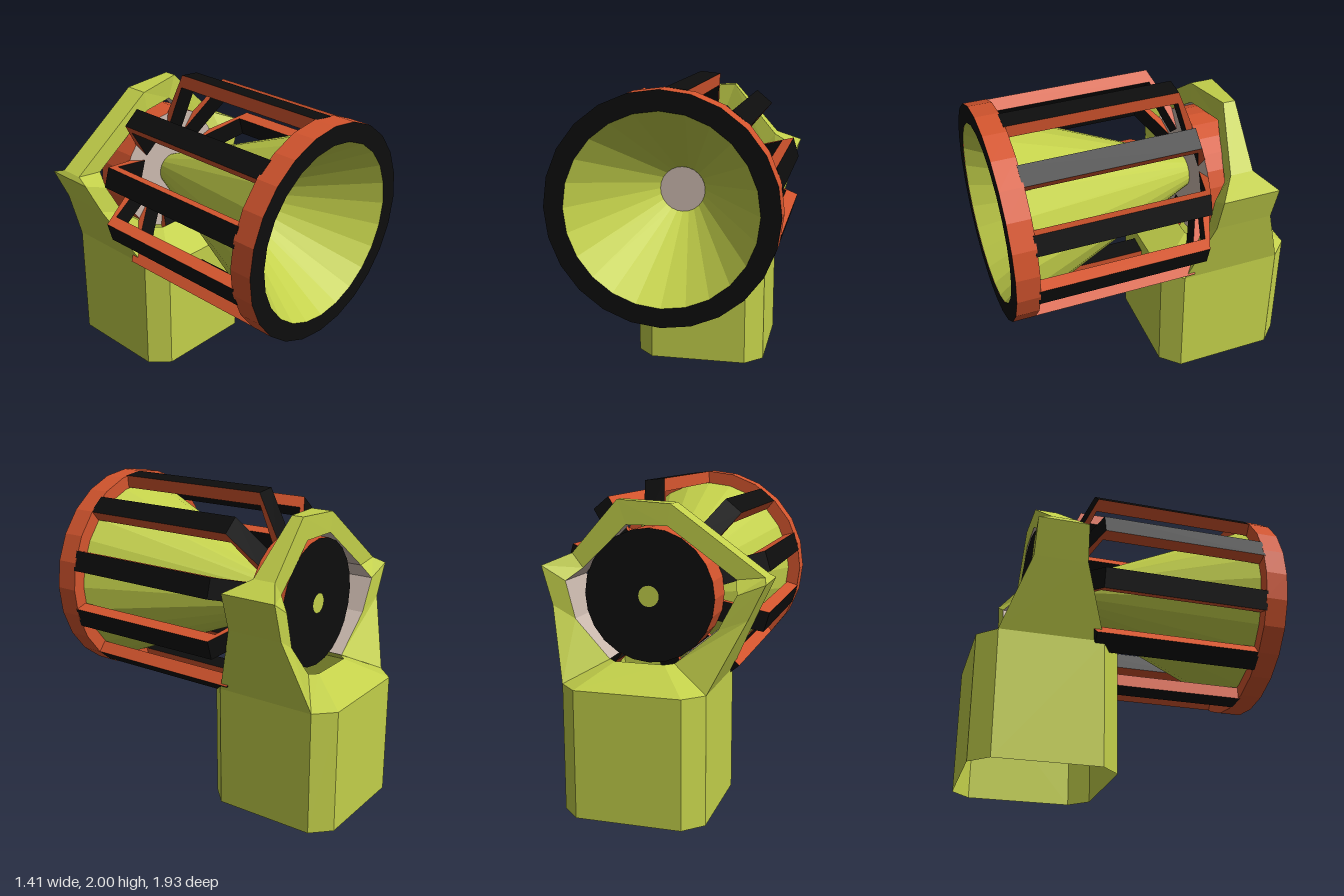
import * as THREE from 'three';

const mat = (color) => new THREE.MeshStandardMaterial({ color, flatShading: true, side: THREE.DoubleSide });
const YELLOW = mat(0xc3d04a), RED = mat(0xd4552e), BLACK = mat(0x0d0d0d), GREY = mat(0xcbb9ae);
const SIDES = 24, CX = 0.02, CY = 1.315;

// Skin a row of closed cross-sections; strips picks which edges get faces
function loft(rings, strips) {
  const pos = [];
  for (let i = 0; i < rings.length - 1; i++) {
    const n = rings[i].length;
    for (const j of strips) {
      const k = (j + 1) % n;
      const [a, b, c, d] = [rings[i][j], rings[i][k], rings[i + 1][k], rings[i + 1][j]];
      pos.push(...a, ...b, ...c, ...a, ...c, ...d);
    }
  }
  const g = new THREE.BufferGeometry();
  g.setAttribute('position', new THREE.Float32BufferAttribute(pos, 3));
  g.computeVertexNormals();
  return g;
}

// Square with cut corners, h = half size, f = half flat
function octagon(h, f, y) {
  return [[f, h], [h, f], [h, -f], [f, -h], [-f, -h], [-h, -f], [-h, f], [-f, h]]
    .map(([x, z]) => [0.04 + x, y, -0.518 + z]);
}

// Lathe whose axis lies along z; points are [radius, z]
function latheZ(points) {
  const g = new THREE.LatheGeometry(points.map(([r, z]) => new THREE.Vector2(r, z)), SIDES);
  return g.rotateX(Math.PI / 2);
}

export function createModel() {
  const group = new THREE.Group();
  const add = (name, geo, material, parent = group) => {
    const m = new THREE.Mesh(geo, material);
    m.name = name;
    parent.add(m);
    return m;
  };

  // Pedestal, open below, with a sloping open collar
  add('pedestal', loft([octagon(0.447, 0.33, 0), octagon(0.447, 0.33, 0.8), octagon(0.205, 0.155, 0.93)],
    [0, 1, 2, 3, 4, 5, 6, 7]), YELLOW);

  // Yoke: arch around the hub. outer x, y, back z, front z, inner x, y, inner back z, front z
  const stations = [
    [0.487, 0.8, -0.85, -0.19, 0.245, 0.93, -0.68, -0.36],
    [0.6, 1.25, -0.705, -0.335, 0.46, 1.17, -0.69, -0.35],
    [0.67, 1.49, -0.705, -0.335, 0.52, 1.4, -0.69, -0.35],
    [0.51, 1.56, -0.6, -0.45, 0.44, 1.47, -0.6, -0.45],
    [0.215, 1.89, -0.6, -0.52, 0.16, 1.74, -0.6, -0.52],
    [-0.12, 1.87, -0.605, -0.455, -0.1, 1.74, -0.605, -0.455],
    [-0.69, 1.46, -0.605, -0.455, -0.52, 1.44, -0.605, -0.455],
    [-0.71, 1.43, -0.69, -0.37, -0.54, 1.36, -0.68, -0.38],
    [-0.61, 1.22, -0.69, -0.35, -0.43, 1.15, -0.68, -0.36],
    [-0.407, 0.8, -0.85, -0.19, -0.165, 0.93, -0.68, -0.36],
  ].map(([x, y, zb, zf, u, v, wb, wf]) => [[x, y, zf], [x, y, zb], [u, v, wb], [u, v, wf]]);
  add('yoke', loft(stations, [0, 1, 3]), YELLOW);
  add('yokeLining', loft(stations, [2]), GREY);

  // Everything below turns around the horn axis
  const lamp = new THREE.Group();
  lamp.name = 'hornAssembly';
  lamp.position.set(CX, CY, 0);
  group.add(lamp);

  // Hub drum with grey front and black back
  const drum = new THREE.CylinderGeometry(0.41, 0.41, 0.24, SIDES).rotateX(Math.PI / 2);
  add('hub', drum, [RED, GREY, BLACK], lamp).position.z = -0.48;
  const boss = add('hubBoss', new THREE.CircleGeometry(0.065, SIDES), YELLOW, lamp);
  boss.position.z = -0.605;

  // Horn: outer cone, inner funnel and the disc at its bottom
  add('hornShell', latheZ([[0.1, -0.37], [0.605, 0.83]]), YELLOW, lamp);
  add('hornFunnel', latheZ([[0.143, 0.33], [0.57, 0.964]]), YELLOW, lamp);
  add('funnelDisc', new THREE.CircleGeometry(0.143, SIDES), GREY, lamp).position.z = 0.331;

  // Rim ring with black face
  add('rim', latheZ([[0.575, 0.955], [0.59, 0.82], [0.685, 0.82], [0.685, 0.965]]), RED, lamp);
  add('rimFace', new THREE.RingGeometry(0.568, 0.685, SIDES), BLACK, lamp).position.z = 0.965;

  // Cage bars: bent profile in (z, radius), red flanks and black faces
  const profile = new THREE.Shape([
    [0.83, 0.6], [0.83, 0.681], [-0.25, 0.681], [-0.362, 0.405], [-0.362, 0.26], [-0.25, 0.6],
  ].map(([z, r]) => new THREE.Vector2(z, r)));
  const bar = new THREE.ExtrudeGeometry(profile, { depth: 0.13, bevelEnabled: false });
  bar.translate(0, 0, -0.065).rotateY(-Math.PI / 2);
  for (const deg of [6, 39.7, 73.6, 106.4, 140.3, 186, -140.3, -106.4, -73.6, -39.7]) {
    add('cageBar', bar, [RED, BLACK], lamp).rotation.z = -THREE.MathUtils.degToRad(deg);
  }
  return group;
}
